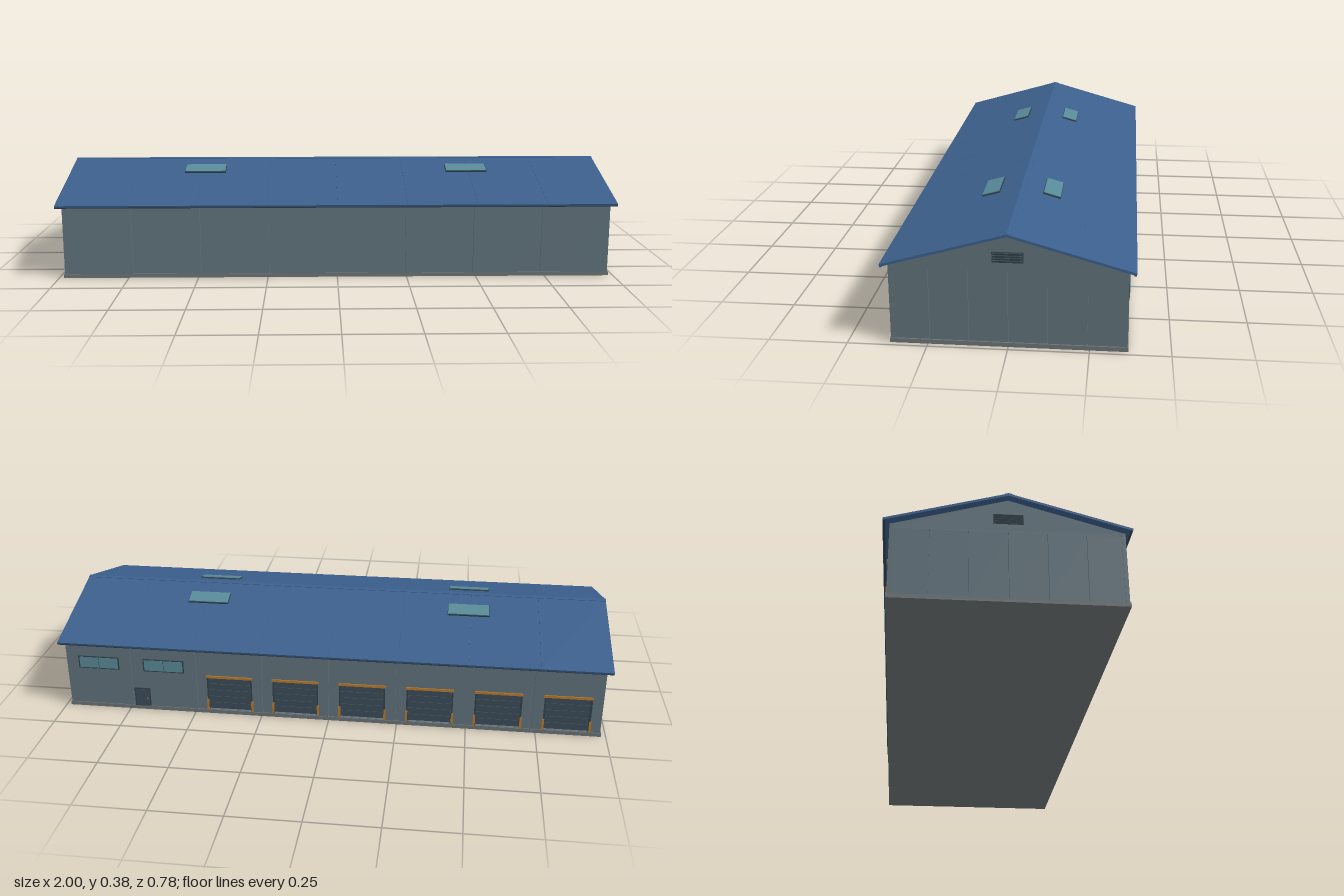
import * as THREE from 'three';

const mat = (color) => new THREE.MeshStandardMaterial({ color, flatShading: true });
const WALL = mat(0x60727b), ROOF = mat(0x3b5f8c), BASE = mat(0x6c7375), GLASS = mat(0x588a98);
const DARK = mat(0x3c4d58), TRIM = mat(0xb87a2a), FRAME = mat(0x34424c);

const BAY = 0.245, BAYS = 8, SLOPE = Math.atan(0.2835);
const BASE_TOP = 0.014, EAVE = 0.262;

function box(parent, name, m, w, h, d, x, y, z) {
  const mesh = new THREE.Mesh(new THREE.BoxGeometry(w, h, d), m);
  mesh.name = name;
  mesh.position.set(x, y, z);
  parent.add(mesh);
  return mesh;
}

function group(parent, name, turn = 0) {
  const g = new THREE.Group();
  g.name = name;
  g.rotation.y = turn;
  parent.add(g);
  return g;
}

// Polygon in the z-y plane, stretched along x and centred
function crossSection(parent, name, m, points, length, x = 0) {
  const shape = new THREE.Shape(points.map(([a, b]) => new THREE.Vector2(a, b)));
  const geo = new THREE.ExtrudeGeometry(shape, { depth: length, bevelEnabled: false });
  geo.translate(0, 0, -length / 2).rotateY(Math.PI / 2);
  const mesh = new THREE.Mesh(geo, m);
  mesh.name = name;
  mesh.position.x = x;
  parent.add(mesh);
}

// One wall bay with an optional rectangular opening [x0, y0, x1, y1]
function bayPanel(parent, x, opening) {
  const w = BAY / 2 - 0.0008;
  const shape = new THREE.Shape();
  shape.moveTo(-w, BASE_TOP).lineTo(w, BASE_TOP).lineTo(w, EAVE).lineTo(-w, EAVE).closePath();
  if (opening) {
    const [x0, y0, x1, y1] = opening;
    const hole = new THREE.Path();
    hole.moveTo(x0, y0).lineTo(x0, y1).lineTo(x1, y1).lineTo(x1, y0).closePath();
    shape.holes.push(hole);
  }
  const mesh = new THREE.Mesh(new THREE.ExtrudeGeometry(shape, { depth: 0.012, bevelEnabled: false }), WALL);
  mesh.name = 'wallPanel';
  mesh.position.set(x, 0, 0.354);
  parent.add(mesh);
}

// Sectional loading door with header and guard posts
function loadingDoor(parent, x) {
  const g = group(parent, 'loadingDoor');
  g.position.set(x, 0, 0.354);
  for (let i = 0; i < 5; i++) {
    box(g, 'doorSection', DARK, 0.155, 0.0245, 0.005, 0, 0.0285 + i * 0.0258, 0.0025);
  }
  box(g, 'doorHeader', TRIM, 0.172, 0.009, 0.016, 0, 0.151, 0.008);
  for (const s of [-1, 1]) {
    box(g, 'doorJamb', FRAME, 0.006, 0.132, 0.014, s * 0.081, 0.08, 0.007);
    box(g, 'guardPost', TRIM, 0.008, 0.045, 0.016, s * 0.083, 0.0365, 0.008);
  }
}

function highWindow(parent, x) {
  const g = group(parent, 'highWindow');
  g.position.set(x, 0.184, 0.366);
  box(g, 'windowFrame', FRAME, 0.154, 0.05, 0.003, 0, 0, 0.0005);
  for (const s of [-1, 1]) box(g, 'windowPane', GLASS, 0.071, 0.042, 0.003, s * 0.0365, 0, 0.0015);
}

function roofSide(parent, turn) {
  const pitch = group(group(parent, 'roofSide', turn), 'roofPitch');
  pitch.position.y = 0.378;
  pitch.rotation.x = SLOPE;
  const length = 0.388 / Math.cos(SLOPE);
  for (let i = 0; i < BAYS; i++) {
    box(pitch, 'roofPanel', ROOF, 0.2495, 0.008, length, -0.875 + i * 0.25, -0.004, length / 2);
  }
  for (const s of [-1, 1]) {
    box(pitch, 'skylightKerb', FRAME, 0.154, 0.006, 0.062, s * 0.492, 0.002, 0.106);
    box(pitch, 'skylight', GLASS, 0.15, 0.004, 0.058, s * 0.492, 0.0055, 0.106);
  }
  // Eave fascia
  box(pitch, 'eaveTrim', FRAME, 2, 0.003, 0.006, 0, -0.0085, length - 0.003);
}

function gableEnd(parent, turn) {
  const g = group(parent, 'gableEnd', turn);
  for (let i = 0; i < 6; i++) {
    const z = -0.305 + i * 0.122;
    box(g, 'endPanel', WALL, 0.012, 0.248 - BASE_TOP, 0.1205, 0.971, (0.248 + BASE_TOP) / 2, z);
  }
  crossSection(g, 'gable', WALL,
    [[-0.366, 0.248], [0.366, 0.248], [0.366, EAVE], [0, 0.367], [-0.366, EAVE]], 0.012, 0.971);
  // Louvred vent
  box(g, 'ventFrame', FRAME, 0.004, 0.034, 0.096, 0.978, 0.296, 0);
  for (let i = 0; i < 4; i++) {
    box(g, 'ventSlat', DARK, 0.005, 0.006, 0.09, 0.979, 0.284 + i * 0.008, 0).rotation.z = -0.4;
  }
}

export function createModel() {
  const model = new THREE.Group();
  model.name = 'warehouse';

  box(model, 'foundation', BASE, 1.965, BASE_TOP, 0.738, 0, BASE_TOP / 2, 0);
  crossSection(model, 'core', WALL,
    [[-0.354, BASE_TOP], [0.354, BASE_TOP], [0.354, EAVE], [0, 0.365], [-0.354, EAVE]], 1.93);

  // Plain long wall, and the loading wall opposite
  const front = group(model, 'frontWall');
  const back = group(model, 'backWall', Math.PI);
  for (let i = 0; i < BAYS; i++) {
    const x = (i - (BAYS - 1) / 2) * BAY;
    bayPanel(front, x);
    if (i < 2) {
      bayPanel(back, x);
      highWindow(back, x);
    } else {
      bayPanel(back, x, [-0.08, BASE_TOP + 0.001, 0.08, 0.147]);
      loadingDoor(back, x);
    }
  }

  // Staff door
  box(back, 'staffDoorFrame', FRAME, 0.06, 0.074, 0.003, -0.7, 0.051, 0.3665);
  box(back, 'staffDoor', DARK, 0.05, 0.069, 0.003, -0.7, 0.0485, 0.3675);
  box(back, 'doorHandle', TRIM, 0.004, 0.006, 0.003, -0.682, 0.047, 0.3695);

  for (const turn of [0, Math.PI]) {
    gableEnd(model, turn);
    roofSide(model, turn);
  }
  // Ridge cap
  crossSection(model, 'ridgeCap', ROOF,
    [[-0.012, 0.372], [0.012, 0.372], [0.012, 0.376], [0, 0.3795], [-0.012, 0.376]], 2);
  return model;
}
